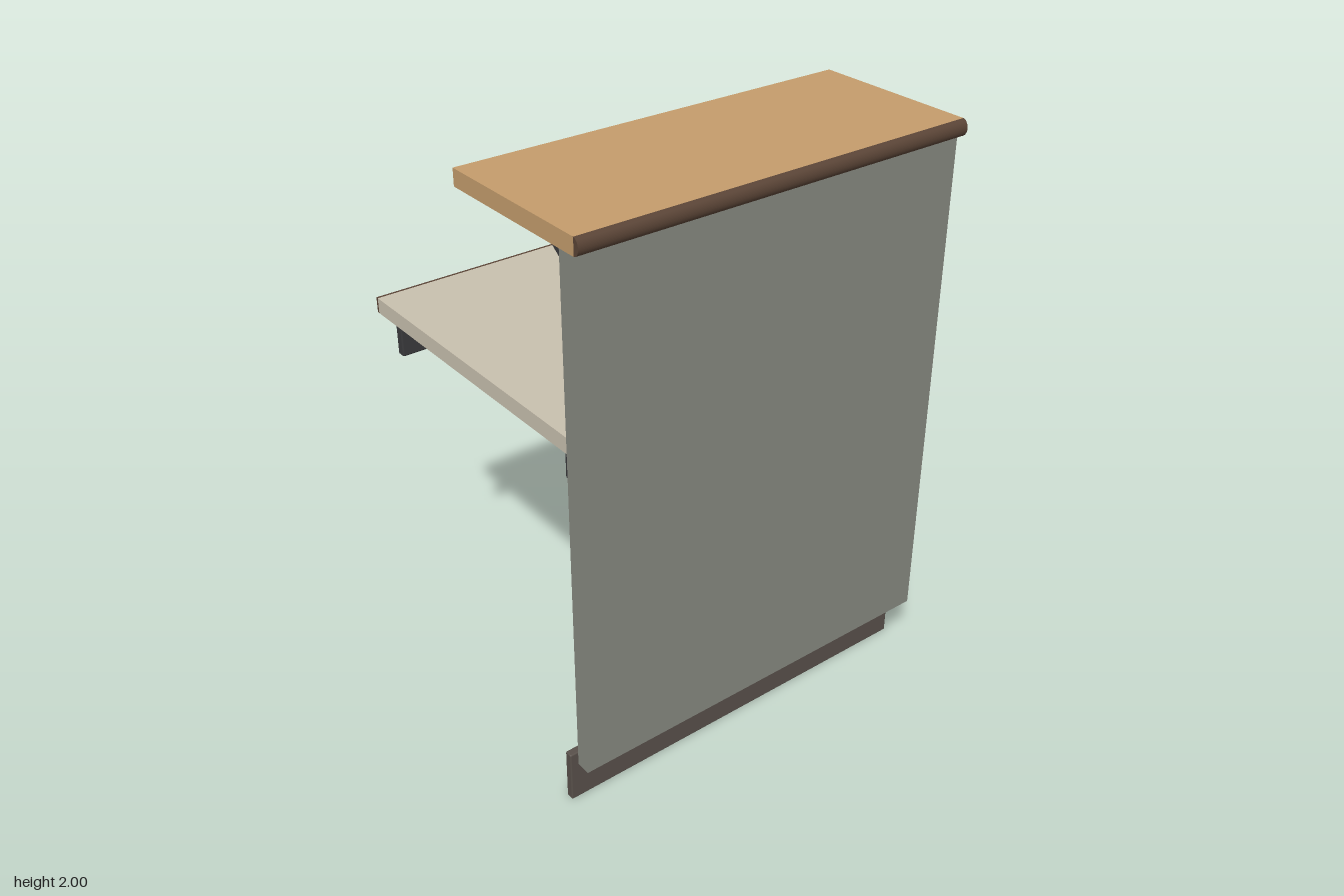
import * as THREE from 'three';
import { RoundedBoxGeometry } from 'three/addons/geometries/RoundedBoxGeometry.js';

const WIDTH = 1.4;
const mat = (color) => new THREE.MeshStandardMaterial({ color });

export function createModel() {
  const group = new THREE.Group();
  const wood = mat(0xc49c6c);
  const darkWood = mat(0x5a4436);
  const laminate = mat(0xc8c0ae);
  const panelGrey = mat(0x868880);
  const kickBrown = mat(0x58504a);
  const metal = mat(0x3a3a3c);

  const add = (name, geometry, material) => {
    const mesh = new THREE.Mesh(geometry, material);
    mesh.name = name;
    group.add(mesh);
    return mesh;
  };

  // Board spanning the width, given its y and z limits; radius softens the edges
  const board = (name, material, y0, y1, z0, z1, radius = 0, width = WIDTH) => {
    const size = [width, y1 - y0, z1 - z0];
    const geometry = radius
      ? new RoundedBoxGeometry(...size, 2, radius)
      : new THREE.BoxGeometry(...size);
    add(name, geometry, material).position.set(0, (y0 + y1) / 2, (z0 + z1) / 2);
  };

  // Upright front and recessed plinth
  board('frontPanel', panelGrey, 0.19, 1.945, 0.493, 0.543);
  board('toeKick', kickBrown, 0, 0.188, 0.421, 0.449, 0.005);

  // Raised counter with rounded front nosing
  board('counterTop', wood, 1.945, 2, -0.018, 0.559);
  const nose = new THREE.Shape();
  nose.moveTo(0, -0.0275);
  nose.absellipse(0, 0, 0.022, 0.0275, -Math.PI / 2, Math.PI / 2);
  nose.closePath();
  const nosing = add('counterNosing', new THREE.ExtrudeGeometry(nose,
    { depth: WIDTH, bevelEnabled: false, curveSegments: 12 }), darkWood);
  nosing.rotation.y = -Math.PI / 2; // profile x becomes z, depth becomes -x
  nosing.position.set(WIDTH / 2, 1.9725, 0.557);

  // Work shelf, its edge band and support rails
  board('workShelf', laminate, 1.333, 1.386, -0.569, 0.493);
  board('shelfEdgeBand', darkWood, 1.333, 1.386, -0.578, -0.569);
  board('frontRail', metal, 1.24, 1.333, 0.468, 0.493, 0.005, 1.38);
  board('backRail', metal, 1.22, 1.333, -0.481, -0.449, 0.006, 1.38);

  // Triangular brackets under the counter
  const gusset = new THREE.Shape([
    [0.493, 1.945], [0, 1.945], [0, 1.935], [0.48, 1.572], [0.493, 1.572],
  ].map(([z, y]) => new THREE.Vector2(z, y)));
  for (const side of [-1, 1]) {
    const geometry = new THREE.ExtrudeGeometry(gusset, { depth: 0.02, bevelEnabled: false });
    geometry.translate(0, 0, -0.01);
    const bracket = add(side > 0 ? 'leftBracket' : 'rightBracket', geometry, metal);
    bracket.rotation.y = -Math.PI / 2;
    bracket.position.x = side * 0.51;
  }
  return group;
}
